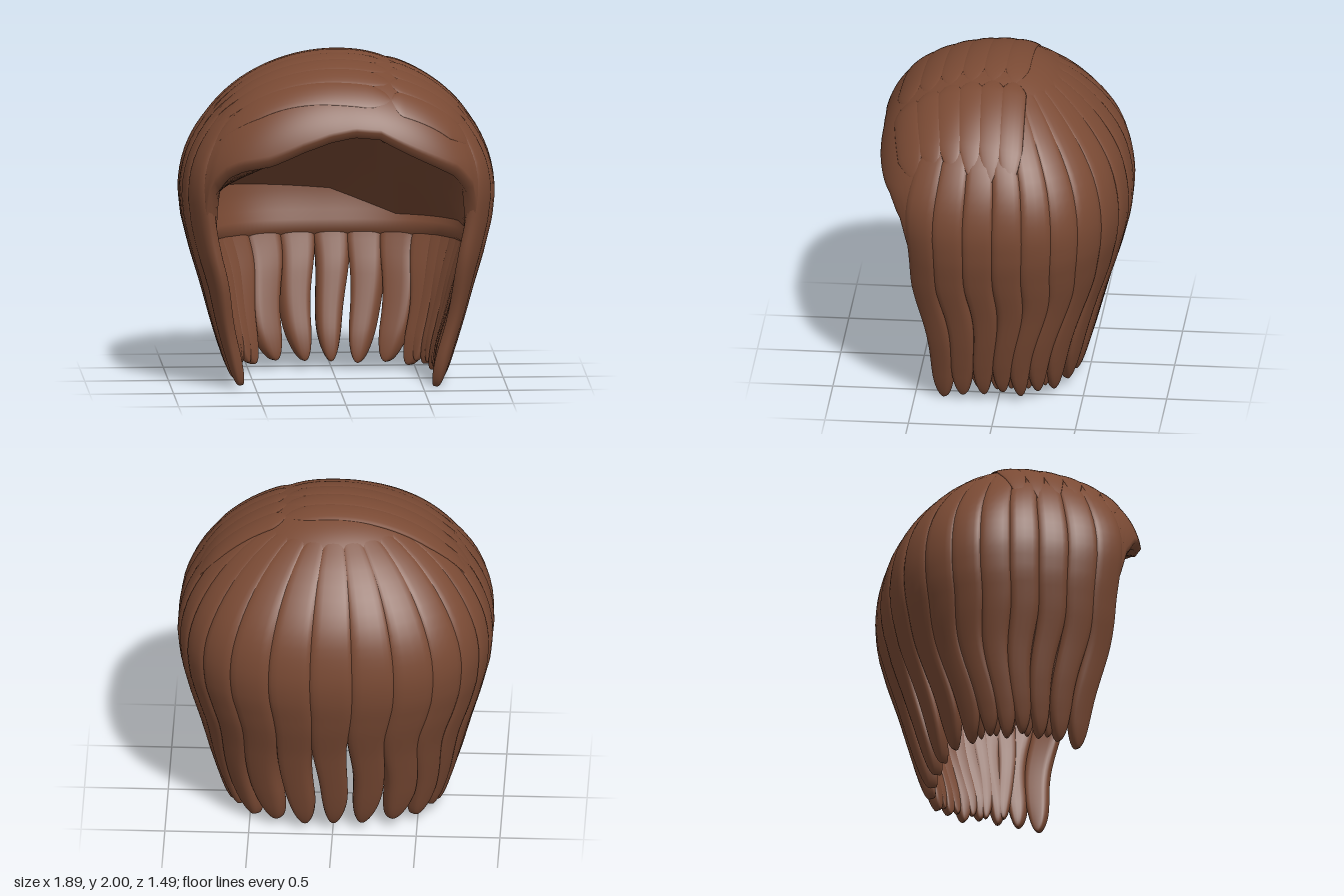
import * as THREE from 'three';

const RAD = Math.PI / 180;
const { smoothstep, lerp } = THREE.MathUtils;
const material = new THREE.MeshStandardMaterial({ color: 0x7a4a34, side: THREE.DoubleSide });

// Piecewise interpolation of [key, value] pairs sorted by rising key
function lookup(table, k) {
  if (k <= table[0][0]) return table[0][1];
  for (let i = 1; i < table.length; i++) {
    const [k0, v0] = table[i - 1], [k1, v1] = table[i];
    if (k <= k1) return lerp(v0, v1, (k - k0) / (k1 - k0));
  }
  return table[table.length - 1][1];
}

// Dome above height yc, tabulated taper below it
const halfSize = (yc, size, taper) => y => y > yc
  ? size * Math.sqrt(Math.max(0, 1 - ((y - yc) / (2 - yc)) ** 2)) : lookup(taper, y);
const width = halfSize(1.15, 0.94, [[0, 0.65], [0.2, 0.7], [0.4, 0.76], [0.6, 0.815], [0.8, 0.875], [1, 0.925], [1.15, 0.94]]);
const front = halfSize(1.39, 0.77, [[0, 0.57], [0.4, 0.63], [0.8, 0.68], [1, 0.69], [1.2, 0.735], [1.39, 0.77]]);
const back = halfSize(1.12, 0.75, [[0, 0.46], [0.2, 0.51], [0.4, 0.565], [0.6, 0.62], [0.8, 0.685], [1, 0.737], [1.12, 0.75]]);
const crownShift = y => 0.035 * smoothstep(y, 1.4, 1.9);

// Radius of the hair outline at angle a (0 = front, 90 degrees = +x)
function radius(a, y) {
  const s = Math.abs(Math.sin(a)), c = Math.abs(Math.cos(a)), ahead = Math.cos(a) > 0;
  const w = Math.max(width(y), 1e-4), d = Math.max(ahead ? front(y) : back(y), 1e-4);
  const n = 2 + (ahead ? 1.4 : 0.45) * Math.min(1, (2 - y) / 0.7);
  return ((s / w) ** n + (c / d) ** n) ** (-1 / n);
}

// Point on the hair surface, moved outward by off
function surface(a, y, off) {
  const r = radius(a, y);
  const p = new THREE.Vector3(Math.sin(a) * r, y, Math.cos(a) * r);
  const out = new THREE.Vector3(p.x, Math.max(0, y - 1.15), p.z).normalize();
  p.z += crownShift(y);
  return p.addScaledVector(out, off);
}

// Dome point above a given x, z
function domePoint(x, z, off) {
  let lo = 1.2, hi = 2;
  const angle = y => Math.atan2(x, z - crownShift(y));
  for (let i = 0; i < 24; i++) {
    const m = (lo + hi) / 2;
    if (radius(angle(m), m) > Math.hypot(x, z - crownShift(m))) lo = m; else hi = m;
  }
  return surface(angle(lo), lo, off);
}

// Smooth grid of points, open along j and optionally closed around i
function grid(ni, nj, fn, closed = true) {
  const pos = [], index = [], cols = closed ? ni : ni + 1;
  for (let j = 0; j <= nj; j++) {
    for (let i = 0; i < cols; i++) pos.push(...fn(i / ni, j / nj).toArray());
  }
  for (let j = 0; j < nj; j++) {
    for (let i = 0; i < ni; i++) {
      const a = j * cols + i, b = j * cols + (i + 1) % cols, c = a + cols, d = b + cols;
      index.push(a, c, b, b, c, d);
    }
  }
  const g = new THREE.BufferGeometry();
  g.setAttribute('position', new THREE.Float32BufferAttribute(pos, 3));
  g.setIndex(index);
  g.computeVertexNormals();
  return g;
}

function add(parent, name, geometry) {
  const mesh = new THREE.Mesh(geometry, material);
  mesh.name = name;
  parent.add(mesh);
}

// Lower edge of the cap by angle in degrees: an arched face opening, level elsewhere
const capEdge = [[-180, 0.75], [-62, 0.75], [-58, 0.95], [-54, 1.2], [-48, 1.32], [-42, 1.37], [-31, 1.41], [-18, 1.5], [-6, 1.56],
  [6, 1.59], [18, 1.575], [28, 1.49], [40, 1.39], [48, 1.32], [54, 1.2], [58, 0.95], [62, 0.75], [180, 0.75]];

// Cap: outer skin down to the edge, rounded lip, then the lining back up to the crown
function capGeometry() {
  return grid(160, 80, (u, v) => {
    const deg = u * 360 - 180, edge = lookup(capEdge, deg);
    const outer = v <= 0.5, t = outer ? v * 2 : (1 - v) * 2;
    const y = Math.min(1.9999, 2 - (2 - edge) * t * t);
    const lip = Math.min(1, (1 - t) / 0.03);
    const round = Math.sqrt(1 - (1 - lip) ** 2);
    const sunk = 0.01 + 0.02 * smoothstep(Math.abs(deg), 60, 80) * smoothstep(2 - y, 0.03, 0.2);
    const lining = lerp(0.09, 0.125, smoothstep(Math.abs(deg), 60, 85));
    return surface(deg * RAD, y, lerp(-0.05, outer ? -sunk : -lining, round));
  });
}

// Underside of the crown: straight lines from the face opening to the back wall
const wallHeight = [[-60, 0.88], [-30, 1.1], [0, 1.05], [20, 0.9], [40, 0.9], [60, 0.82]];
function undersideGeometry() {
  return grid(48, 12, (u, v) => {
    const deg = u * 120 - 60;
    const rim = surface(deg * RAD, lookup(capEdge, deg) + 0.02, -0.07);
    const wall = surface((180 - deg * 1.75) * RAD, lookup(wallHeight, deg), -0.11);
    return rim.lerp(wall, v);
  }, false);
}

// Hanging lock: flattened tube following the surface, wavy and rounded at the tip
const lockSpread = [[0, 0.83], [0.25, 0.92], [0.45, 0.95], [0.7, 1.02], [0.85, 1.08], [2, 1.1]];
const squash = x => Math.sign(x) * Math.abs(x) ** 0.65;
function lockGeometry({ deg, half, tip, top = 1.93, thick = 1, inset = 0, wave = 1, phase = 0 }) {
  return grid(20, 40, (u, v) => {
    const s = 1 - (1 - v) ** 1.5, y = lerp(top, tip, s);
    const phi = u * Math.PI * 2;
    const end = Math.sqrt(1 - Math.min(1, Math.max(0, (tip + 0.24 - y) / 0.24)) ** 2.2);
    const spread = lookup(lockSpread, y) * end;
    const drop = smoothstep(1.25 - y, -0.6, -0.1);
    const depth = (0.012 + 0.043 * drop) * thick;
    const sway = wave * 1.5 * Math.sin(y * 7 + phase) * smoothstep(1.1 - y, 0, 0.5);
    const fan = Math.cos(deg * RAD) < 0 ? 6 * Math.sin(2 * deg * RAD) * smoothstep(0.8 - y, 0, 0.7) : 0;
    const a = (deg + sway + fan - half * spread * squash(Math.cos(phi))) * RAD;
    const middle = 0.017 * drop - 0.014 - depth - inset;
    return surface(a, y, middle + depth * (0.3 + 0.7 * end) * squash(Math.sin(phi)));
  });
}

// Combed lock running over the dome from the parting towards one side
function sweptGeometry(z0, endX) {
  return grid(14, 28, (u, v) => {
    const phi = u * Math.PI * 2;
    const taper = Math.sqrt(Math.max(0.02, Math.min(1, v * 8, (1 - v) * 4)));
    const z = z0 * (1 - 0.12 * v * v) - 0.02 * v + 0.078 * taper * Math.cos(phi);
    return domePoint(lerp(0.3, endX, v), z, -0.012 + 0.01 * taper * Math.sin(phi));
  });
}

export function createModel() {
  const hair = new THREE.Group();
  hair.name = 'hair';
  add(hair, 'cap', capGeometry());
  add(hair, 'crownUnderside', undersideGeometry());

  // Outer locks, from the back centre round to both temples: [angle from back, half width, tip, thickness]
  const locks = new THREE.Group();
  locks.name = 'hangingLocks';
  hair.add(locks);
  const side = [[19, 9.4, 0.03, 1], [36.5, 8.6, 0.04, 1], [51, 7.2, 0.03, 1], [63, 6.2, 0.05, 1], [74, 5.9, 0.03, 1],
    [85, 5.7, 0.06, 1], [96, 5.7, 0.04, 1], [107, 5.8, 0.03, 0.9], [117.5, 6, 0, 0.8]];
  add(locks, 'backLock', lockGeometry({ deg: 180, half: 10, tip: 0.04 }));
  for (const m of [-1, 1]) {
    side.forEach(([a, half, tip, thick], i) => {
      add(locks, m > 0 ? 'leftLock' : 'rightLock', lockGeometry({
        deg: 180 - m * a, half, thick, tip: tip + (m > 0 ? 0 : 0.015), phase: i * 0.5 + m,
      }));
    });
    // Thinner under-layer filling the gaps at the sides
    for (const a of [57, 68.5, 79.5, 90.5, 101.5]) {
      add(locks, 'underLock', lockGeometry({
        deg: 180 - m * a, half: 4.8, top: 0.9, tip: 0.05 + 0.03 * Math.abs(Math.sin(a)), thick: 0.65, inset: 0.04, wave: 0.6, phase: a,
      }));
    }
  }

  // Combed rows either side of the parting
  const combed = new THREE.Group();
  combed.name = 'combedLocks';
  hair.add(combed);
  for (let i = 0; i < 6; i++) {
    const z0 = 0.58 - i * 0.13;
    add(combed, 'rightSweep', sweptGeometry(z0, -0.76 - 0.02 * i));
    add(combed, 'leftSweep', sweptGeometry(z0, 0.77 + 0.02 * i));
  }
  return hair;
}
